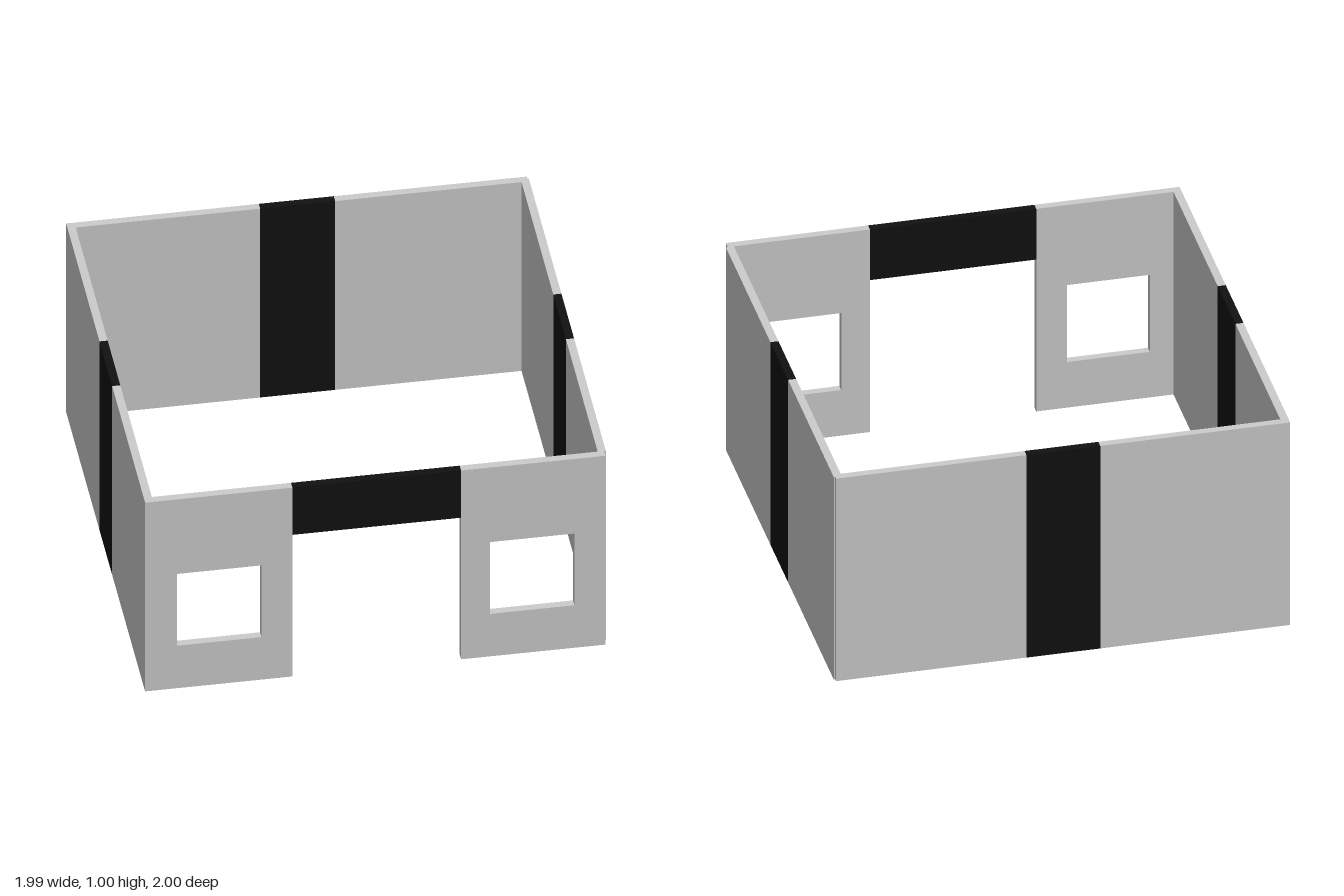
import * as THREE from 'three';

const H = 1, T = 0.035;

export function createModel() {
  const model = new THREE.Group();
  const grey = new THREE.MeshStandardMaterial({ color: 0xcccccc, flatShading: true });
  const black = new THREE.MeshStandardMaterial({ color: 0x111111, flatShading: true });

  // Box given by its limits on each axis
  function block(name, material, [x0, x1], [y0, y1], [z0, z1]) {
    const mesh = new THREE.Mesh(new THREE.BoxGeometry(x1 - x0, y1 - y0, z1 - z0), material);
    mesh.position.set((x0 + x1) / 2, (y0 + y1) / 2, (z0 + z1) / 2);
    mesh.name = name;
    model.add(mesh);
  }

  // Wall split into grey, black stripe, grey along one axis
  function stripedWall(name, cuts, place) {
    for (let i = 0; i < 3; i++) {
      const stripe = i === 1;
      const span = [cuts[i], cuts[i + 1]];
      place(name + (stripe ? 'Stripe' : 'Panel'), stripe ? black : grey, span);
    }
  }

  // Back and side walls; the corners lap like a pinwheel
  stripedWall('backWall', [-0.993, -0.165, 0.157, 0.987],
    (n, m, s) => block(n, m, s, [0, H], [-1, -1 + T]));
  stripedWall('leftWall', [-0.985, -0.16, 0.16, 1 - T],
    (n, m, s) => block(n, m, [0.993 - T, 0.993], [0, H], s));
  stripedWall('rightWall', [-1 + T, -0.155, 0.165, 1 - T],
    (n, m, s) => block(n, m, [-0.993, -0.993 + T], [0, H], s));

  // Front panels, each with a square window opening
  function frontPanel(name, x0, x1, w0, w1) {
    const shape = new THREE.Shape();
    shape.moveTo(x0, 0).lineTo(x1, 0).lineTo(x1, H).lineTo(x0, H).closePath();
    const hole = new THREE.Path();
    hole.moveTo(w0, 0.225).lineTo(w0, 0.605).lineTo(w1, 0.605).lineTo(w1, 0.225).closePath();
    shape.holes.push(hole);
    const geometry = new THREE.ExtrudeGeometry(shape, { depth: T, bevelEnabled: false });
    const mesh = new THREE.Mesh(geometry, grey);
    mesh.position.z = 1 - T;
    mesh.name = name;
    model.add(mesh);
  }
  frontPanel('frontRightPanel', -0.993, -0.36, -0.855, -0.493);
  frontPanel('frontLeftPanel', 0.365, 0.985, 0.49, 0.852);

  // Black lintel over the doorway
  block('doorLintel', black, [-0.36, 0.365], [0.75, H], [1 - T, 1]);

  return model;
}
